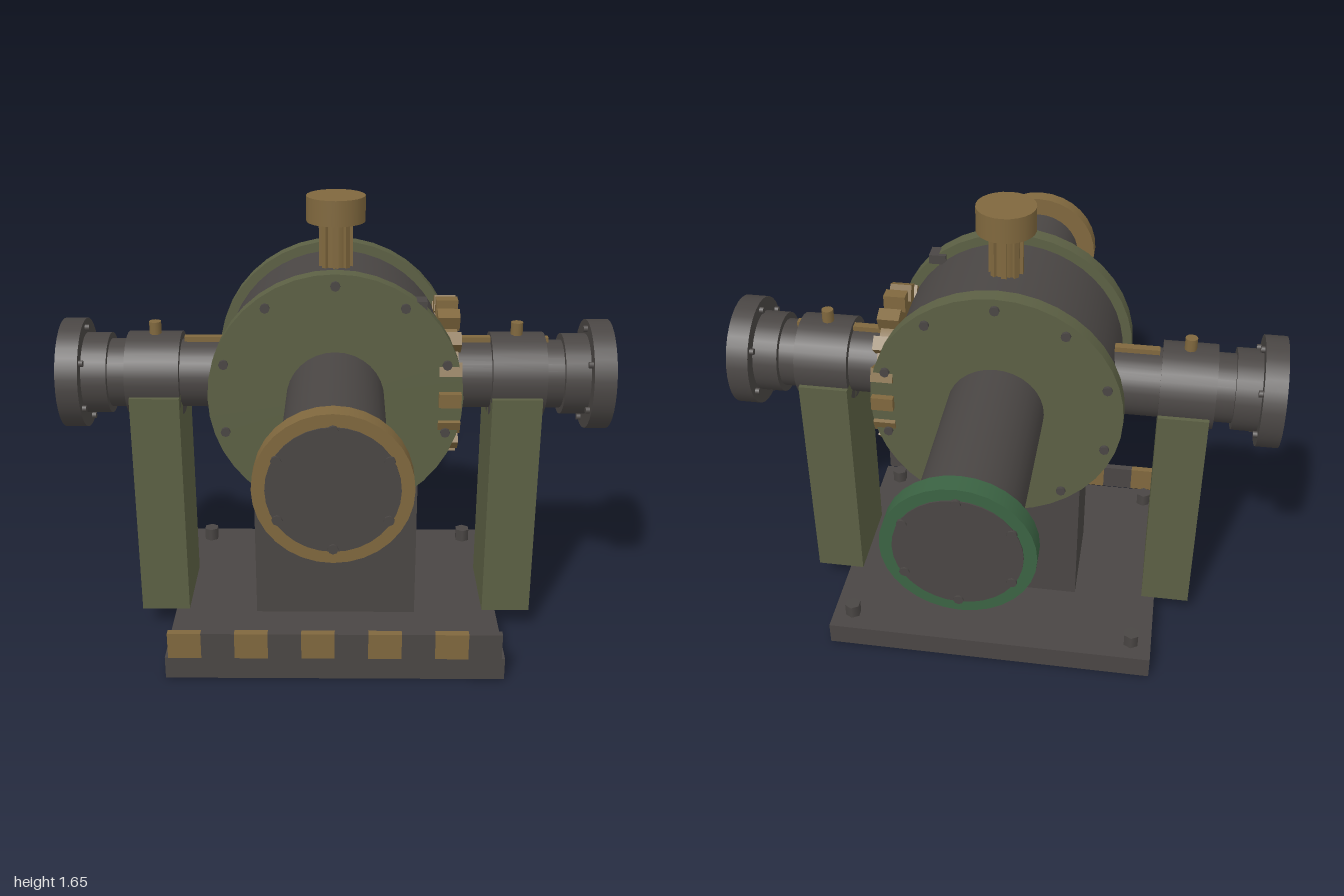
import * as THREE from 'three';

const mat = (name, color) => {
  const m = new THREE.MeshStandardMaterial({ color });
  m.name = name;
  return m;
};

export function createModel() {
  const dark = mat('darkSteel', 0x4a4644);
  const gold = mat('brass', 0x80683e);
  const olive = mat('olivePaint', 0x5c6044);
  const green = mat('greenPaint', 0x3b6343);
  const model = new THREE.Group();
  model.name = 'gearedValve';
  const CY = 0.993; // height of the main axes

  const add = (name, geo, material, parent = model) => {
    const mesh = new THREE.Mesh(geo, material);
    mesh.name = name;
    parent.add(mesh);
    return mesh;
  };
  // box given by its limits
  const box = (name, m, x0, x1, y0, y1, z0, z1, parent) => {
    const mesh = add(name, new THREE.BoxGeometry(x1 - x0, y1 - y0, z1 - z0), m, parent);
    mesh.position.set((x0 + x1) / 2, (y0 + y1) / 2, (z0 + z1) / 2);
    return mesh;
  };
  // cylinder from a to b along an axis, centred on (u, v) in the other two
  const cyl = (name, m, axis, r, a, b, u, v, seg = 32, parent = model) => {
    const geo = new THREE.CylinderGeometry(r, r, Math.abs(b - a), seg);
    const c = (a + b) / 2;
    if (axis === 'x') geo.rotateZ(Math.PI / 2);
    if (axis === 'z') geo.rotateX(Math.PI / 2);
    const mesh = add(name, geo, m, parent);
    if (axis === 'x') mesh.position.set(c, u, v);
    else if (axis === 'y') mesh.position.set(u, c, v);
    else mesh.position.set(u, v, c);
    return mesh;
  };

  // base plate with corner bolts
  box('basePlate', dark, -0.61, 0.61, 0, 0.085, -0.495, 0.495);
  for (const x of [-0.535, 0.535])
    for (const z of [-0.415, 0.415]) cyl('baseBolt', dark, 'y', 0.03, 0.085, 0.135, x, z, 6);

  // striped rail along the front edge
  for (let i = 0; i < 10; i++) {
    const x = -0.595 + i * 0.119;
    box('railStripe', i % 2 ? dark : gold, x, x + 0.119, 0.095, 0.195, 0.485, 0.512);
  }

  // pedestal and drum
  box('pedestal', dark, -0.3, 0.3, 0.085, 0.64, -0.18, 0.18);
  cyl('drum', dark, 'z', 0.41, -0.2, 0.2, 0, CY, 48);

  // front and back: drum flange, pipe and end flange with bolts
  for (const s of [1, -1]) {
    cyl('drumFlange', olive, 'z', 0.445, s * 0.2, s * 0.26, 0, CY, 40);
    for (let i = 0; i < 10; i++) {
      const a = i * Math.PI / 5;
      cyl('drumFlangeBolt', dark, 'z', 0.017, s * 0.25, s * 0.272,
        0.405 * Math.sin(a), CY + 0.405 * Math.cos(a), 8);
    }
    cyl('pipe', dark, 'z', 0.17, s * 0.2, s * 0.95, 0, CY);
    cyl('pipeFlange', s > 0 ? gold : green, 'z', 0.24, s * 0.925, s * 0.99, 0, CY);
    cyl('pipeCover', dark, 'z', 0.2, s * 0.985, s * 0.994, 0, CY);
    for (let i = 0; i < 6; i++) {
      const a = i * Math.PI / 3;
      cyl('pipeCoverBolt', dark, 'z', 0.016, s * 0.985, s * 1.0,
        0.19 * Math.sin(a), CY + 0.19 * Math.cos(a), 8);
    }
  }

  // ribbed filler neck and cap
  cyl('fillerNeck', gold, 'y', 0.05, 1.38, 1.57, 0, 0, 16);
  for (let i = 0; i < 8; i++) {
    const rib = box('neckRib', gold, -0.01, 0.01, 1.38, 1.565, 0.04, 0.06);
    const a = i * Math.PI / 4;
    rib.position.set(0.05 * Math.sin(a), rib.position.y, 0.05 * Math.cos(a));
    rib.rotation.y = a;
  }
  cyl('fillerCap', gold, 'y', 0.104, 1.56, 1.65, 0, 0, 24);

  // side supports and stepped trunnions
  for (const s of [1, -1]) {
    box('support', olive, s > 0 ? 0.56 : -0.74, s > 0 ? 0.74 : -0.56, 0.085, 0.95, -0.163, 0.163);
    const steps = [
      ['trunnionShaft', 0.125, 0.3, 0.85],
      ['bearingCollar', 0.153, 0.56, 0.755],
      ['trunnionRing', 0.148, 0.82, 0.915],
      ['trunnionFlange', 0.2, 0.91, 0.99],
    ];
    for (const [name, r, a, b] of steps) cyl(name, dark, 'x', r, s * a, s * b, CY, 0);
    for (let i = 0; i < 6; i++) {
      const a = (i + 0.5) * Math.PI / 3;
      cyl('trunnionBolt', dark, 'x', 0.012, s * 0.895, s * 0.915,
        CY + 0.172 * Math.sin(a), 0.172 * Math.cos(a), 8);
    }
    cyl('oilCup', gold, 'y', 0.022, 1.13, 1.19, s * 0.655, 0, 12);
  }
  box('leftShaftKey', gold, 0.45, 0.77, 1.1, 1.135, -0.015, 0.015);
  box('rightShaftKey', gold, -0.55, -0.39, 1.1, 1.135, -0.015, 0.015);

  // gear on the left trunnion
  const gear = new THREE.Group();
  gear.name = 'gear';
  gear.position.set(0.398, CY, 0);
  model.add(gear);
  cyl('gearDisc', gold, 'x', 0.237, -0.026, 0.03, 0, 0, 32, gear);
  for (let i = 0; i < 16; i++) {
    const a = i * Math.PI / 8;
    const tooth = add('gearTooth', new THREE.BoxGeometry(0.078, 0.06, 0.05), gold, gear);
    tooth.position.set(0, 0.255 * Math.cos(a), 0.255 * Math.sin(a));
    tooth.rotation.x = a;
  }

  // small stop block at the drum edge
  box('stopBlock', dark, 0.25, 0.312, 1.305, 1.34, 0.185, 0.25);

  return model;
}
